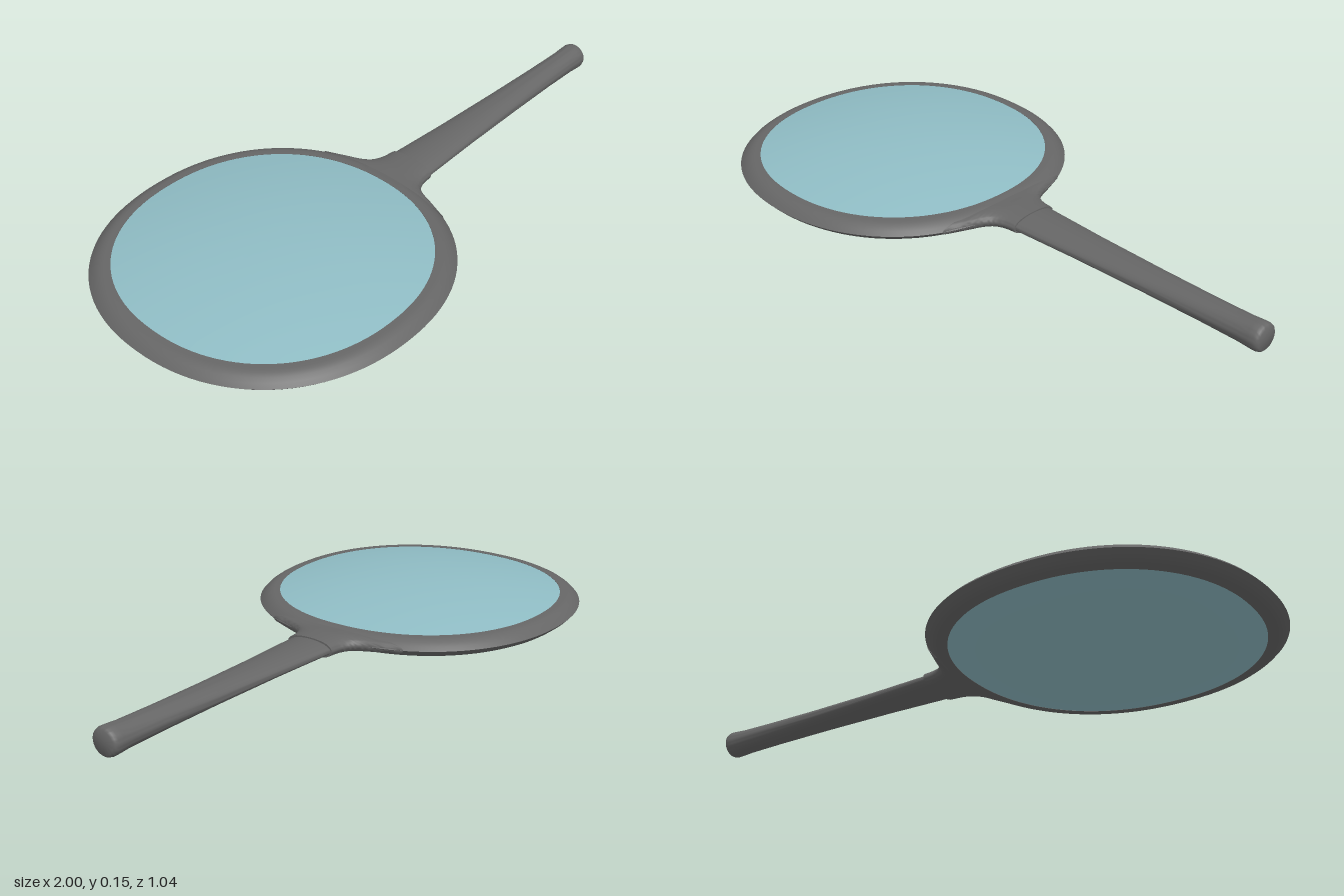
import * as THREE from 'three';
import { toCreasedNormals } from 'three/addons/utils/BufferGeometryUtils.js';

const MID = 0.075;      // height of the symmetry plane
const CENTRE_X = -0.48; // centre of the lens

// Surface through a grid of points; point(i, j) returns [x, y, z]
function loft(nu, nv, point) {
  const pos = [], index = [];
  for (let i = 0; i <= nu; i++)
    for (let j = 0; j <= nv; j++) pos.push(...point(i, j));
  const at = (i, j) => i * (nv + 1) + j;
  for (let i = 0; i < nu; i++)
    for (let j = 0; j < nv; j++) {
      index.push(at(i, j), at(i + 1, j), at(i, j + 1));
      index.push(at(i + 1, j), at(i + 1, j + 1), at(i, j + 1));
    }
  const g = new THREE.BufferGeometry();
  g.setAttribute('position', new THREE.Float32BufferAttribute(pos, 3));
  g.setIndex(index);
  return toCreasedNormals(g, 0.7);
}

// Slightly squared circle, as a signed power of sine or cosine
const round = (v, n) => Math.sign(v) * Math.pow(Math.abs(v), 2 / n);

// Sweep a profile of [radius, height] pairs around the lens outline
function sweep(profile, segments = 112) {
  return loft(segments, profile.length - 1, (i, j) => {
    const a = ((i % segments) / segments) * Math.PI * 2;
    const [r, h] = profile[j];
    return [CENTRE_X + r * round(Math.cos(a), 2.15), MID + h, r * round(Math.sin(a), 2.15)];
  });
}

// Bar along x from sections [x, half width, half height], n sets squareness
function bar(sections, n, segments = 40) {
  return loft(sections.length - 1, segments, (i, j) => {
    const a = ((j % segments) / segments) * Math.PI * 2;
    const [x, w, h] = sections[i];
    return [x, MID + h * round(Math.cos(a), n), -w * round(Math.sin(a), n)];
  });
}

// Mirror an upper profile to its lower half
const mirrored = (top) => [...top, ...top.slice(0, -1).reverse().map(([r, h]) => [r, -h])];

export function createModel() {
  const model = new THREE.Group();
  const dark = new THREE.MeshStandardMaterial({ color: 0x666666 });
  const glass = new THREE.MeshStandardMaterial({ color: 0x8fbcc4 });
  const add = (name, geometry, material) => {
    const mesh = new THREE.Mesh(geometry, material);
    mesh.name = name;
    model.add(mesh);
  };

  // Rim with a tapered outer edge and a straight inner wall
  const rim = mirrored([
    [0.457, 0.029], [0.475, 0.029], [0.486, 0.027], [0.498, 0.021], [0.51, 0.012], [0.521, 0],
  ]);
  rim.push(rim[0]);
  add('rim', sweep(rim), dark);

  // Biconvex lens
  const dome = [];
  for (let k = 0; k <= 16; k++) {
    const t = k / 16;
    dome.push([0.458 * t, 0.028 + 0.047 * (1 - t * t)]);
  }
  add('lens', sweep([...dome, ...dome.slice().reverse().map(([r, h]) => [r, -h])]), glass);

  // Neck flaring from the handle into the rim
  const flare = new THREE.CatmullRomCurve3([
    [-0.012, 0.25, 0.026], [0.01, 0.19, 0.027], [0.03, 0.135, 0.028],
    [0.05, 0.106, 0.029], [0.08, 0.09, 0.029], [0.125, 0.083, 0.029],
  ].map((p) => new THREE.Vector3(...p)));
  const neck = flare.getPoints(24).map((p) => p.toArray());
  add('neck', bar([[-0.012, 0, 0], ...neck, [0.125, 0, 0]], 2.4), dark);

  // Handle, flat at the neck and round at the end
  add('handle', bar([
    [0.115, 0, 0], [0.115, 0.08, 0.025], [0.35, 0.066, 0.027], [0.6, 0.055, 0.031],
    [0.8, 0.047, 0.036], [0.93, 0.044, 0.04], [0.965, 0.045, 0.043], [0.985, 0.045, 0.044],
    [0.995, 0.042, 0.041], [1, 0.036, 0.035], [1, 0, 0],
  ], 2), dark);

  return model;
}
